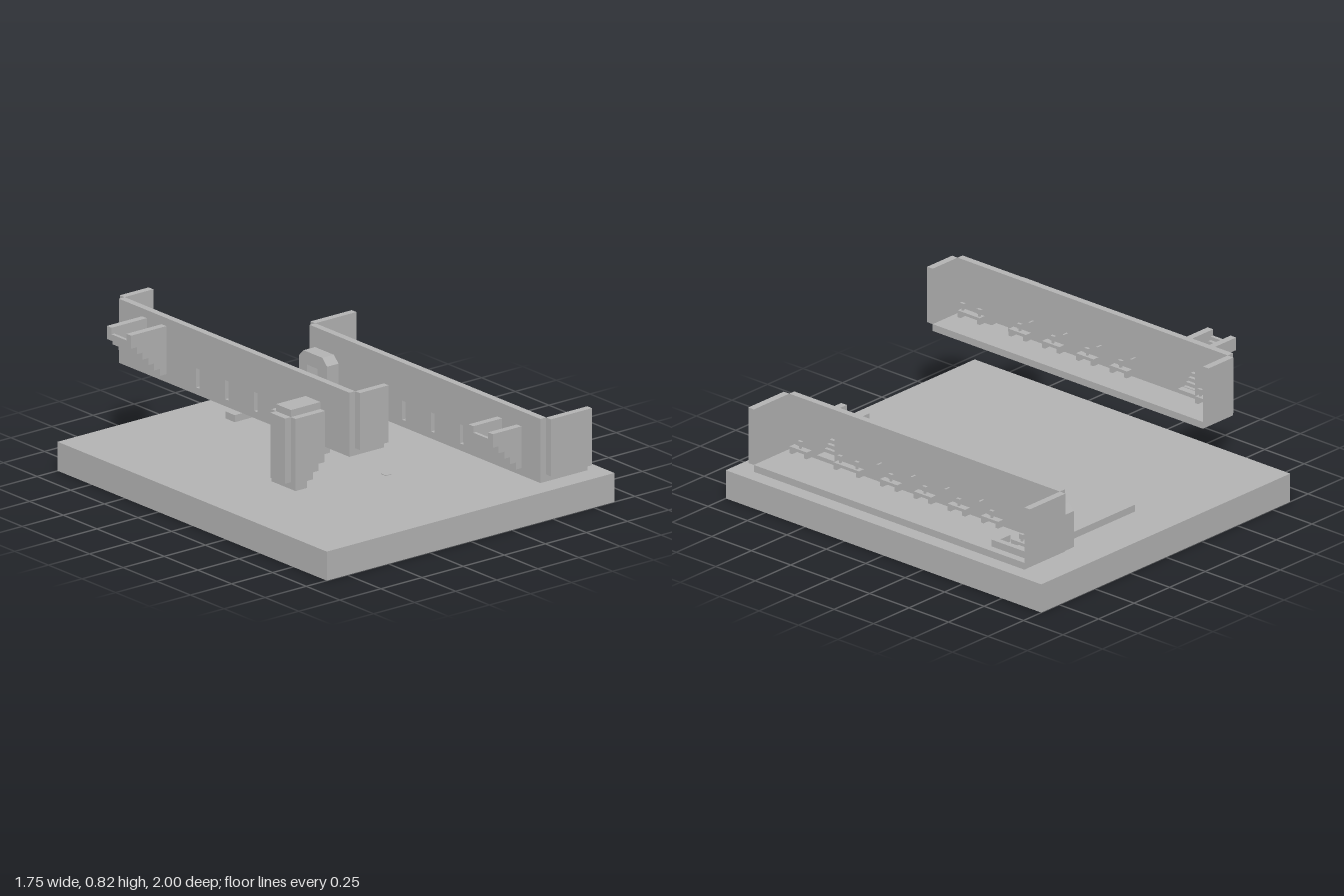
import * as THREE from 'three';

const T = 0.035; // common wall and slab thickness

export function createModel() {
  const model = new THREE.Group();
  const grey = new THREE.MeshStandardMaterial({ color: 0xb2b2b2 });
  grey.name = 'plainGrey';

  const add = (name, geometry, parent = model) => {
    const mesh = new THREE.Mesh(geometry, grey);
    mesh.name = name;
    parent.add(mesh);
    return mesh;
  };
  // Box given by its lower and upper limits
  const box = (name, x0, x1, y0, y1, z0, z1, parent) => {
    const g = new THREE.BoxGeometry(x1 - x0, y1 - y0, z1 - z0);
    g.translate((x0 + x1) / 2, (y0 + y1) / 2, (z0 + z1) / 2);
    return add(name, g, parent);
  };
  const toShape = (pts) => new THREE.Shape(pts.map(([a, b]) => new THREE.Vector2(a, b)));
  const rect = (a0, a1, b0, b1) => [[a0, b0], [a1, b0], [a1, b1], [a0, b1]];
  // Outline in the x-y plane, extruded from z0 to z1
  const profileXY = (name, pts, z0, z1, parent) => {
    const g = new THREE.ExtrudeGeometry(toShape(pts), { depth: z1 - z0, bevelEnabled: false });
    return add(name, g.translate(0, 0, z0), parent);
  };
  // Outline in the z-y plane with holes, extruded from x0 to x1
  const profileZY = (name, pts, holes, x0, x1, parent) => {
    const shape = toShape(pts);
    for (const h of holes) shape.holes.push(toShape(h));
    const g = new THREE.ExtrudeGeometry(shape, { depth: x1 - x0, bevelEnabled: false });
    return add(name, g.rotateY(-Math.PI / 2).translate(x1, 0, 0), parent);
  };
  const group = (name) => {
    const g = new THREE.Group();
    g.name = name;
    model.add(g);
    return g;
  };

  // One storey: back wall with openings, floor slab and two end walls
  function storey(name, x, xOut, y, z0, z1, doors, slots) {
    const g = group(name);
    const wall = rect(z0, z1, y, y + 0.32);
    const recesses = slots.map((z) => rect(z - 0.013, z + 0.013, y + T, y + 0.13));
    profileZY('backWallOuterLayer', wall, [...doors, ...recesses], x, x + 0.02, g);
    profileZY('backWallInnerLayer', wall, doors, x + 0.02, x + T, g);
    box('floorSlab', x + T, xOut, y, y + T, z0, z1, g);
    for (const [a, b] of [[z0 - T, z0], [z1, z1 + T]]) {
      box('endWall', x + T, xOut, y + T, y + 0.32, a, b, g);
    }
    // Small wall fittings in line with the recesses
    for (const z of slots) {
      box('fittingStem', x + T, x + 2 * T - 0.005, y + 0.105, y + 0.125, z - 0.002, z + 0.002, g);
      box('fittingHead', x + T, x + 2 * T - 0.005, y + 0.125, y + 0.137, z - 0.005, z + 0.005, g);
    }
    return g;
  }

  // Little block on a stem standing on a desk
  function deskUnit(x, y, z, g) {
    box('unitStem', x - 0.005, x + 0.005, y, y + 0.012, z - 0.005, z + 0.005, g);
    box('unitHead', x - 0.007, x + 0.007, y + 0.012, y + 0.037, z - 0.012, z + 0.012, g);
  }
  function desk(x, y, z, width, g, units = [0]) {
    const a = z - width / 2, b = z + width / 2;
    const leg = 0.018;
    profileZY('desk', [[a, y], [a + leg, y], [a + leg, y + 0.02], [b - leg, y + 0.02],
      [b - leg, y], [b, y], [b, y + T], [a, y + T]], [], x, x + T, g);
    for (const u of units) deskUnit(x + T / 2, y + T, z + u, g);
  }

  // Open-topped staircase climbing away from a wall, with stepped underside
  function outerStair(xWall, n, yLow, yFirst, top, z) {
    const g = group('outerStair');
    const xOut = xWall - n * T;
    const under = [];
    for (let i = 0; i < n; i++) {
      const y = yLow + i * T;
      under.push([xWall - i * T, y], [xWall - (i + 1) * T, y]);
    }
    const side = [...under, [xOut, top], [xWall, top]].reverse();
    profileXY('stairSideWall', side, z - 0.09, z - 0.055, g);
    profileXY('stairSideWall', side, z + 0.055, z + 0.09, g);
    const treads = [];
    for (let i = 2 * n - 1; i >= 0; i--) {
      const y = yFirst + i * T / 2;
      treads.push([xWall - (i + 1) * T / 2, y], [xWall - i * T / 2, y]);
    }
    profileXY('stairTreads', [...under, ...treads].reverse(), z - 0.055, z + 0.055, g);
  }

  // Ground block and a small marker plate
  box('base', -0.875, 0.875, 0, 0.145, -1, 1);
  box('markerPlate', 0.015, 0.05, 0.145, 0.148, 0.317, 0.352);

  // Lower storey
  const lower = storey('lowerStorey', 0.515, 0.8, 0.145, -0.825, 0.89,
    [rect(-0.785, -0.645, 0.18, 0.33), rect(0.605, 0.715, 0.2, 0.325)],
    [-0.34, -0.125, 0.09, 0.305]);
  for (const z of [-0.41, -0.2, 0.015, 0.23, 0.803]) desk(0.55, 0.18, z, 0.11, lower);
  desk(0.55, 0.18, 0.498, 0.16, lower, [-0.053, 0.053]);

  // Corner counter with a small table inside it
  box('counterLong', 0.73, 0.76, 0.18, 0.215, -0.79, -0.58, lower);
  box('counterShort', 0.66, 0.73, 0.18, 0.215, -0.61, -0.58, lower);
  desk(0.66, 0.18, -0.7, 0.11, lower);

  // Entrance porch with sloped shoulders, and the path leading to it
  const porch = group('entrancePorch');
  const outline = [[-0.82, 0.145], [-0.61, 0.145], [-0.61, 0.33], [-0.645, 0.365],
    [-0.785, 0.365], [-0.82, 0.33]];
  profileZY('porchShell', outline, [rect(-0.785, -0.645, 0.18, 0.33)], 0.475, 0.515, porch);
  profileZY('porchFront', outline, [rect(-0.76, -0.68, 0.18, 0.3)], 0.445, 0.475, porch);
  box('path', -0.055, 0.445, 0.145, 0.18, -0.755, -0.685);

  outerStair(0.515, 5, 0.182, 0.2, 0.39, 0.66);

  // Upper storey
  const upper = storey('upperStorey', -0.59, -0.38, 0.505, -0.893, 0.82,
    [rect(0.5, 0.605, 0.54, 0.685), rect(-0.685, -0.575, 0.56, 0.685)],
    [-0.305, -0.09, 0.125, 0.34]);
  for (const z of [-0.23, -0.018, 0.198, 0.41]) desk(-0.555, 0.54, z, 0.11, upper);
  for (const z of [-0.788, 0.718]) desk(-0.555, 0.54, z, 0.14, upper, [-0.053, 0.053]);

  outerStair(-0.595, 6, 0.545, 0.56, 0.785, -0.63);
  box('stairJoint', -0.595, -0.59, 0.545, 0.785, -0.72, -0.685);
  box('stairJoint', -0.595, -0.59, 0.545, 0.785, -0.575, -0.54);

  // Closed stair shaft going down from the upper storey
  const shaft = group('stairShaft');
  const steps = [[-0.77, 0.325], [-0.7, 0.325], [-0.7, 0.36], [-0.665, 0.36], [-0.665, 0.395],
    [-0.63, 0.395], [-0.63, 0.43], [-0.595, 0.43], [-0.595, 0.47], [-0.56, 0.47], [-0.56, 0.505]];
  const shaftSide = [...steps, [-0.59, 0.505], [-0.59, 0.685], [-0.77, 0.685]];
  profileXY('shaftSideWall', shaftSide, 0.46, 0.495, shaft);
  profileXY('shaftSideWall', shaftSide, 0.605, 0.64, shaft);
  const descent = [...steps, [-0.59, 0.505], [-0.59, 0.54]];
  for (let i = 1; i <= 10; i++) {
    const x = -0.59 - i * 0.0175, y = 0.54 - i * 0.0175;
    descent.push([x + 0.0175, y], [x, y]);
  }
  descent.push([-0.77, 0.365]);
  profileXY('shaftTreads', descent, 0.495, 0.605, shaft);
  box('shaftOuterWall', -0.805, -0.77, 0.36, 0.685, 0.495, 0.605, shaft);
  box('shaftRoof', -0.77, -0.59, 0.685, 0.72, 0.495, 0.605, shaft);

  return model;
}
